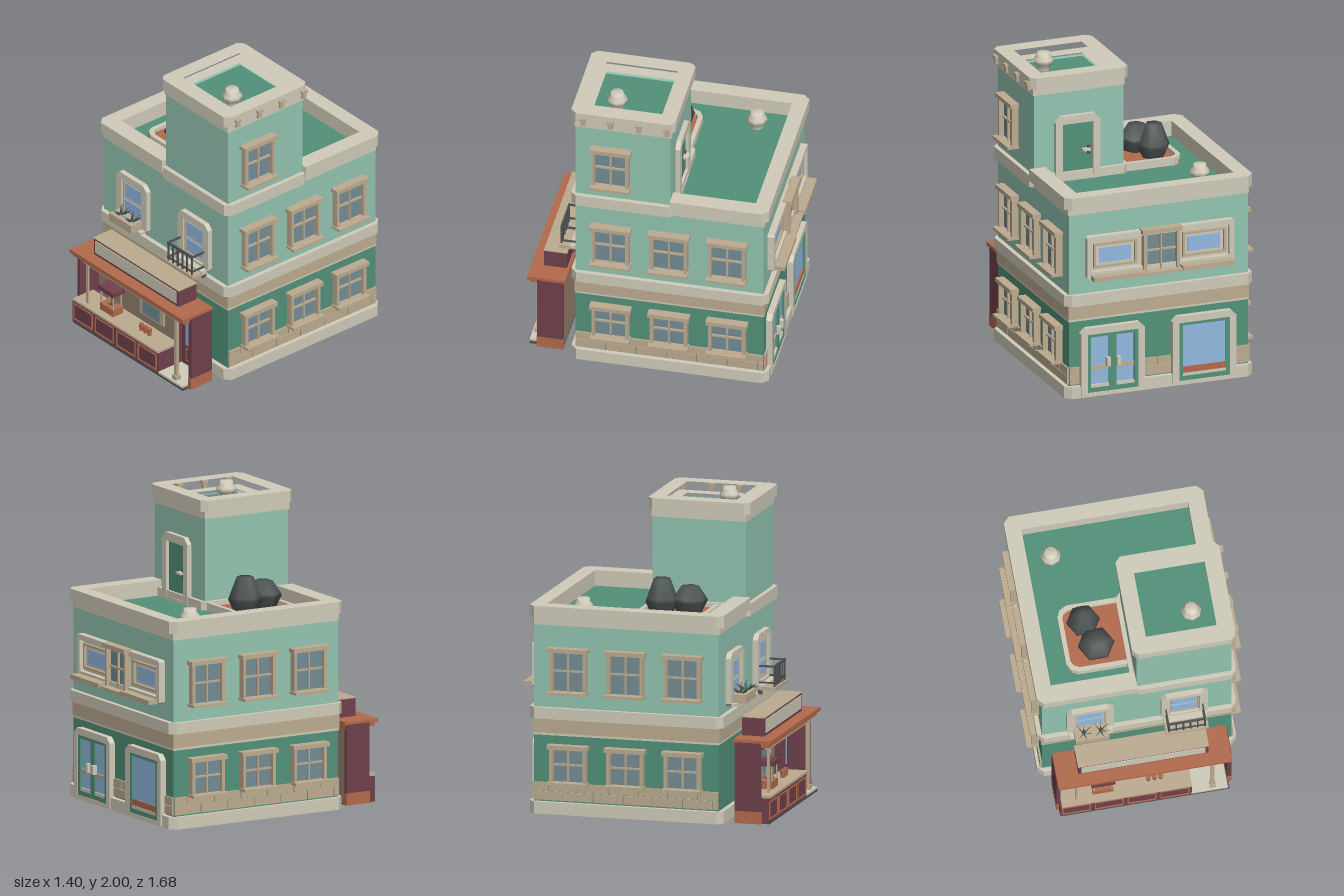
import * as THREE from 'three';

const mat = (name, color) => new THREE.MeshStandardMaterial({ name, color });
const M = {
  mint: mat('mint wall', 0x93c4b0), green: mat('deep green', 0x529179), cream: mat('cream trim', 0xd0cbb9),
  tan: mat('tan stone', 0xbcab90), terra: mat('terracotta', 0xb26a4c), maroon: mat('maroon wood', 0x70404c),
  blue: mat('blue glass', 0x93b8e0), grey: mat('grey glass', 0x738c94), coal: mat('charcoal', 0x4d5253),
  brown: mat('brown wood', 0x94806b),
};

function mesh(p, name, geo, m) {
  const o = new THREE.Mesh(geo, m);
  o.name = name;
  p.add(o);
  return o;
}
// Box from its limits on each axis
function box(p, name, m, x0, x1, y0, y1, z0, z1) {
  const o = mesh(p, name, new THREE.BoxGeometry(x1 - x0, y1 - y0, z1 - z0), m);
  o.position.set((x0 + x1) / 2, (y0 + y1) / 2, (z0 + z1) / 2);
  return o;
}
function group(p, name, x = 0, y = 0, z = 0, ry = 0) {
  const g = new THREE.Group();
  g.name = name;
  g.position.set(x, y, z);
  g.rotation.y = ry;
  p.add(g);
  return g;
}
const poly = pts => pts.map(([x, y]) => new THREE.Vector2(x, y));
const rect = (x0, x1, y0, y1, c = 0, b = c) => poly([
  [x0 + b, y0], [x1 - b, y0], [x1, y0 + b], [x1, y1 - c], [x1 - c, y1], [x0 + c, y1], [x0, y1 - c], [x0, y0 + b]]);
// Horizontal slab with an outline given in x, z
function slab(p, name, m, outline, y0, y1, hole) {
  const s = new THREE.Shape(outline.map(v => new THREE.Vector2(v.x, -v.y)));
  if (hole) s.holes.push(new THREE.Path(hole.map(v => new THREE.Vector2(v.x, -v.y))));
  const g = new THREE.ExtrudeGeometry(s, { depth: y1 - y0, bevelEnabled: false });
  g.rotateX(-Math.PI / 2);
  return mesh(p, name, g, m).position.y = y0;
}
// Upright frame with cut corners and an opening
function frame(p, name, m, outer, inner, depth, z = 0) {
  const s = new THREE.Shape(outer);
  s.holes.push(new THREE.Path(inner));
  mesh(p, name, new THREE.ExtrudeGeometry(s, { depth, bevelEnabled: false }), m).position.z = z;
}
// Four-pane window with lintel and sill, centred on x, standing on y = 0
function paneWindow(g, w, h) {
  const a = w / 2;
  box(g, 'windowPane', M.grey, -a + .01, a - .01, .01, h - .01, -.01, .012);
  for (const s of [-1, 1]) box(g, 'windowJamb', M.tan, s * (a - .011) - .011, s * (a - .011) + .011, 0, h, 0, .045);
  box(g, 'windowLintel', M.tan, -a - .013, a + .013, h - .028, h, 0, .06);
  box(g, 'windowSill', M.tan, -a - .008, a + .008, 0, .018, 0, .08);
  box(g, 'mullion', M.tan, -.006, .006, .01, h - .02, 0, .028);
  box(g, 'crossBar', M.tan, -a + .01, a - .01, h * .5 - .006, h * .5 + .006, 0, .026);
}
// Two courses of staggered bricks along local x
function bricks(g, x0, x1) {
  for (let r = 0; r < 2; r++) {
    for (let x = x0 - r * .1; x < x1 - .01; x += .2) {
      box(g, 'brick', M.tan, Math.max(x, x0) + .003, Math.min(x + .2, x1) - .003, .09 + r * .06, .146 + r * .06, -.01, .012);
    }
  }
}
function vent(p, x, y, z) {
  const pts = poly([[.04, 0], [.04, .03], [.066, .05], [.066, .075], [.045, .1], [.042, .122], [0, .122]]);
  mesh(p, 'roofVent', new THREE.LatheGeometry(pts, 8), M.cream).position.set(x, y, z);
}
function plant(p, x, y, z, size) {
  for (let i = 0; i < 7; i++) {
    const g = new THREE.ConeGeometry(size * .16, size, 4);
    g.scale(1, 1, .4);
    g.translate(0, size / 2, 0);
    const leaf = mesh(p, 'leaf', g, i % 2 ? M.green : M.coal);
    leaf.position.set(x, y, z);
    leaf.rotation.set(0, i * .9, i ? .95 : 0, 'YXZ');
  }
}

function buildWalls(p) {
  const base = rect(-.65, .65, -.765, .535, .04);
  slab(p, 'baseBand', M.cream, base, 0, .08);
  box(p, 'lowerWall', M.green, -.62, .62, .07, .52, -.733, .505);
  box(p, 'wallLine', M.cream, -.623, .623, .515, .53, -.736, .508);
  box(p, 'tanBand', M.tan, -.626, .626, .53, .64, -.739, .511);
  slab(p, 'middleBand', M.cream, base, .625, .7);
  box(p, 'upperWall', M.mint, -.62, .62, .69, 1.25, -.733, .505);
  box(p, 'mainRoof', M.green, -.56, .56, 1.25, 1.262, -.68, .44);
  // Parapet wraps round the roof and stops at the tower
  const parapet = (o, c) => poly([[0, .505 + o], [-.62 - o + c, .505 + o], [-.62 - o, .505 + o - c], [-.62 - o, -.733 - o + c],
    [-.62 - o + c, -.733 - o], [.62 + o - c, -.733 - o], [.62 + o, -.733 - o + c], [.62 + o, -.12], [.542, -.12],
    [.542, -.665], [-.547, -.665], [-.547, .42], [0, .42]]);
  slab(p, 'parapetFoot', M.cream, parapet(.006, .006), 1.24, 1.285);
  slab(p, 'parapet', M.cream, parapet(.032, .04), 1.285, 1.365);
  // Tower
  slab(p, 'towerBand', M.cream, rect(-.03, .65, -.148, .535, .035), 1.24, 1.32);
  box(p, 'towerWall', M.mint, 0, .62, 1.25, 1.87, -.12, .505);
  box(p, 'towerRoof', M.green, .06, .56, 1.87, 1.88, -.07, .44);
  const hole = rect(.075, .542, -.048, .42);
  slab(p, 'towerCapFoot', M.cream, rect(-.006, .626, -.126, .511), 1.86, 1.91, hole);
  slab(p, 'towerCap', M.cream, rect(-.03, .648, -.15, .535, .035), 1.91, 1.985, hole);
  for (const z of [.45, .27, .083, -.103]) {
    box(p, 'spoutHead', M.tan, .64, .672, 1.94, 1.957, z - .022, z + .022);
    box(p, 'spout', M.tan, .64, .664, 1.9, 1.94, z - .015, z + .015);
  }
  // Tower door
  const d = group(p, 'towerDoor', .325, 1.262, -.12, Math.PI);
  frame(d, 'doorFrame', M.cream, rect(-.155, .155, 0, .44, .04, 0), rect(-.105, .105, .02, .385), .032);
  box(d, 'doorLeaf', M.green, -.11, .11, 0, .39, 0, .01);
  box(d, 'doorHandle', M.cream, .03, .085, .19, .205, .01, .045);
  box(d, 'handlePlate', M.coal, .07, .09, .16, .22, .01, .02);
  // Roof vents
  vent(p, -.39, 1.262, -.47);
  vent(p, .395, 1.88, .28);
  // Roof bed with clipped shrubs
  slab(p, 'bedCurb', M.cream, poly([[0, -.12], [-.35, -.12], [-.4, -.095], [-.42, -.05], [-.42, .27], [-.4, .315], [-.35, .34], [0, .34]]), 1.255, 1.315,
    poly([[-.02, -.09], [-.34, -.09], [-.375, -.07], [-.39, -.04], [-.39, .26], [-.375, .29], [-.34, .31], [-.02, .31]]));
  box(p, 'bedSoil', M.terra, -.4, 0, 1.26, 1.29, -.1, .32);
  for (const [x, z, r, top] of [[-.265, .02, .11, 1.515], [-.21, .19, .12, 1.462]]) {
    const pts = poly([[r * .6, 1.27], [r, 1.365], [r * .93, 1.385], [r * .5, top], [0, top]]);
    const g = new THREE.LatheGeometry(pts, 6);
    g.rotateY(Math.PI / 6 + Math.PI / 3);
    mesh(p, 'shrub', g, M.coal).position.set(x, 0, z);
  }
}

function buildSides(p) {
  for (const s of [-1, 1]) {
    for (const z of [.27, -.114, -.497]) {
      paneWindow(group(p, 'lowerSideWindow', s * .62, .2, z, s * Math.PI / 2), .245, .26);
      paneWindow(group(p, 'upperSideWindow', s * .62, .795, z, s * Math.PI / 2), .245, .302);
    }
    bricks(group(p, 'sideBricks', s * .62, 0, -.114, s * Math.PI / 2), -.62, .62);
  }
  paneWindow(group(p, 'towerWindow', .62, 1.415, .27, Math.PI / 2), .245, .307);
}

function buildFront(p) {
  for (const s of [-1, 1]) {
    const g = group(p, 'frontWindow', s * .308, .735, .505);
    frame(g, 'windowSurround', M.cream, rect(-.153, .153, 0, .35, .035, .02), rect(-.098, .098, .04, .305), .035);
    frame(g, 'innerFrame', M.tan, rect(-.1, .1, .035, .31), rect(-.088, .088, .05, .297), .02);
    box(g, 'sash', M.cream, -.095, .095, .04, .305, -.01, .012);
    box(g, 'upperPane', M.blue, -.082, .082, .175, .275, 0, .018);
    box(g, 'lowerPane', M.blue, -.082, .082, .06, .15, 0, .018);
    box(g, 'windowSill', M.cream, -.14, .14, 0, .02, .03, .075);
  }
  // Flower box
  box(p, 'flowerBox', M.tan, -.42, -.2, .755, .812, .54, .63);
  for (const x of [-.36, -.25]) plant(p, x, .805, .58, .085);
  // Balcony
  box(p, 'balconyFloor', M.tan, .165, .445, .722, .745, .53, .655);
  const bar = (x0, x1, y0, y1, z0, z1) => box(p, 'balconyRail', M.coal, x0, x1, y0, y1, z0, z1);
  bar(.18, .43, .872, .885, .635, .648);
  bar(.18, .43, .765, .775, .637, .646);
  for (let i = 0; i < 6; i++) bar(.182 + i * .047, .192 + i * .047, .745, .88, .637, .646);
  for (const x of [.18, .42]) {
    bar(x, x + .01, .872, .884, .53, .645);
    bar(x, x + .01, .765, .775, .53, .645);
    bar(x, x + .014, .692, .725, .53, .56);
  }
}

function buildBack(p) {
  const b = group(p, 'backFacade', 0, 0, -.733, Math.PI);
  // Long upper window group
  frame(b, 'longWindowFrame', M.cream, rect(-.51, .51, .805, 1.09, .01), rect(-.475, .475, .85, 1.055), .045);
  box(b, 'longWindowPanel', M.cream, -.49, .49, .83, 1.07, -.01, .012);
  for (const s of [-1, 1]) {
    const x = s * .308;
    frame(b, 'sideSash', M.tan, rect(x - .15, x + .15, .87, 1.035), rect(x - .135, x + .135, .885, 1.02), .03);
    box(b, 'sidePane', M.blue, x - .11, x + .11, .9, 1.0, 0, .018);
    box(b, 'sideSill', M.tan, x - .178, x + .178, .803, .833, .03, .11);
  }
  paneWindow(group(b, 'middleWindow', 0, .8, .02), .25, .3);
  // Ground floor openings
  for (const x of [-.33, .305]) {
    frame(b, 'doorSurround', M.cream, rect(x - .22, x + .22, .005, .47, .035, 0), rect(x - .175, x + .175, .03, .425), .04);
    frame(b, 'greenFrame', M.green, rect(x - .18, x + .18, .02, .43), rect(x - .15, x + .15, .06, .405), .036);
    box(b, 'glass', M.blue, x - .155, x + .155, .05, .41, 0, .02);
  }
  box(b, 'doorMeeting', M.green, -.355, -.305, .05, .41, 0, .036);
  for (const s of [-1, 1]) {
    box(b, 'doorPull', M.cream, -.33 + s * .035 - .012, -.33 + s * .035 + .012, .2, .26, .03, .06);
    box(b, 'doorRail', M.tan, -.33 + s * .095 - .055, -.33 + s * .095 + .055, .18, .205, 0, .03);
  }
  box(b, 'kickPanel', M.terra, .155, .455, .05, .12, 0, .03);
  for (const [x0, x1] of [[-.62, -.55], [-.11, .085], [.525, .62]]) bricks(b, x0, x1);
}

function buildShop(p) {
  const g = group(p, 'shopFront');
  box(g, 'shopFloor', M.coal, -.55, .55, 0, .015, .6, .825);
  box(g, 'backWall', M.brown, -.55, .55, .01, .51, .6, .612);
  box(g, 'wallRail', M.maroon, -.54, .3, .347, .353, .61, .616);
  for (const s of [-1, 1]) {
    box(g, 'sideWall', M.maroon, s * .558 - .014, s * .558 + .014, .08, .53, .598, .77);
    box(g, 'sideBase', M.terra, s * .558 - .015, s * .558 + .015, 0, .08, .597, .775);
  }
  box(g, 'shopRoof', M.terra, -.567, .567, .525, .548, .587, .838);
  box(g, 'shopRoofEdge', M.terra, -.555, .555, .5, .525, .597, .82);
  // Sign
  box(g, 'signBox', M.maroon, -.425, .425, .548, .668, .605, .755);
  box(g, 'signTop', M.tan, -.428, .428, .666, .672, .603, .757);
  box(g, 'signPanel', M.cream, -.405, .405, .567, .655, .75, .76);
  // Counter with framed panels
  box(g, 'counter', M.maroon, -.556, .305, .004, .168, .68, .822);
  box(g, 'counterTop', M.tan, -.545, .305, .168, .184, .66, .832);
  for (const x of [-.45, -.236, -.022, .192]) {
    frame(g, 'counterPanel', M.terra, rect(x - .095, x + .095, .028, .148), rect(x - .086, x + .086, .037, .139), .008, .82);
  }
  // Posts and beam
  box(g, 'beam', M.tan, -.48, .48, .474, .492, .775, .8);
  box(g, 'beamMount', M.maroon, -.54, .54, .488, .505, .75, .78);
  box(g, 'post', M.tan, -.452, -.436, .18, .48, .78, .796);
  box(g, 'post', M.tan, .434, .456, .03, .48, .778, .8);
  box(g, 'postFoot', M.tan, .425, .465, .03, .06, .77, .81);
  box(g, 'counterPost', M.maroon, .288, .306, .01, .5, .61, .68);
  // Serving window and notice
  box(g, 'servingFrame', M.tan, -.12, .12, .2, .46, .61, .625);
  box(g, 'servingPane', M.grey, -.085, .085, .215, .42, .62, .631);
  box(g, 'noticeFrame', M.coal, .14, .185, .3, .365, .61, .618);
  box(g, 'notice', M.cream, .147, .178, .308, .357, .612, .622);
  // Entrance
  box(g, 'step', M.cream, .3, .54, .002, .03, .62, .825);
  box(g, 'doorLeaf', M.maroon, .312, .53, .03, .41, .61, .63);
  box(g, 'doorGlass', M.blue, .35, .49, .18, .365, .625, .636);
  frame(g, 'doorPanel', M.terra, rect(.35, .49, .06, .155), rect(.357, .483, .067, .148), .005, .63);
  // Snack cart on the counter
  box(g, 'cartBase', M.terra, -.335, -.2, .184, .235, .7, .78);
  box(g, 'cartRoof', M.maroon, -.345, -.19, .335, .368, .69, .79);
  for (const x of [-.33, -.213]) for (const z of [.703, .769]) box(g, 'cartPost', M.tan, x, x + .008, .23, .34, z, z + .008);
  plant(g, -.267, .232, .74, .045);
  for (let i = 0; i < 3; i++) {
    mesh(g, 'cup', new THREE.CylinderGeometry(.017, .013, .05, 8), M.terra).position.set(.035 + i * .04, .209, .74);
  }
}

export function createModel() {
  const root = new THREE.Group();
  root.name = 'cornerBuilding';
  buildWalls(root);
  buildSides(root);
  buildFront(root);
  buildBack(root);
  buildShop(root);
  return root;
}
